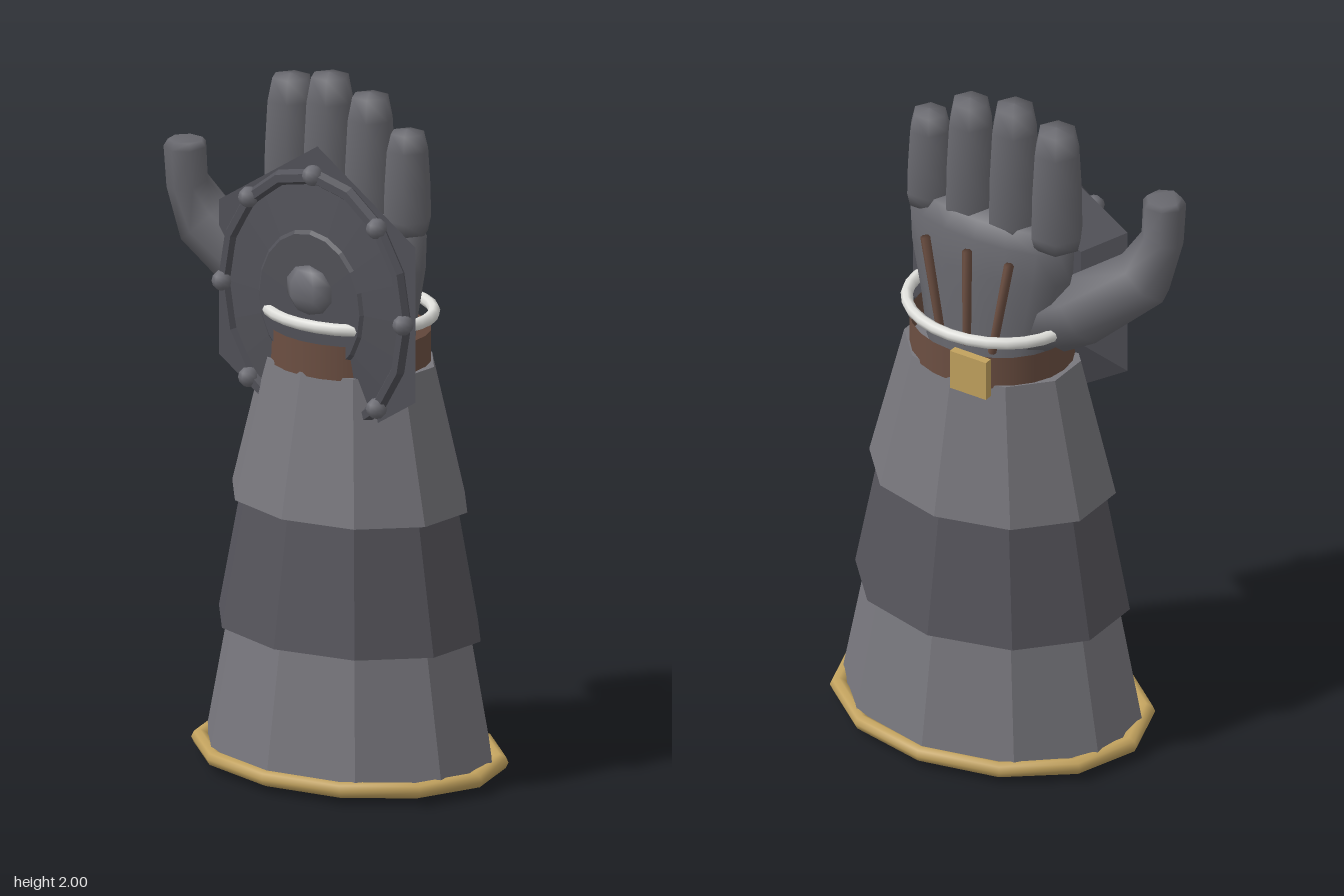
import * as THREE from 'three';

const mat = (name, color, flat = false) => {
  const m = new THREE.MeshStandardMaterial({ color, flatShading: flat });
  m.name = name;
  return m;
};

const CX = 0.03; // forearm axis

export function createModel() {
  const root = new THREE.Group();
  root.name = 'armouredGauntlet';
  const steel = mat('lightSteel', 0x78777d, true);
  const darkSteel = mat('darkSteel', 0x56555c, true);
  const glove = mat('gloveSteel', 0x68686e);
  const plate = mat('shieldSteel', 0x515158, true);
  const stud = mat('studSteel', 0x6c6c73);
  const gold = mat('gold', 0xc2a25e);
  const leather = mat('leather', 0x6c4f42);
  leather.side = THREE.DoubleSide;
  const white = mat('whiteCord', 0xe0e0dc);
  const lining = mat('navyLining', 0x12122e);

  const add = (name, geo, material, x = 0, y = 0, z = 0) => {
    const mesh = new THREE.Mesh(geo, material);
    mesh.name = name;
    mesh.position.set(x, y, z);
    root.add(mesh);
    return mesh;
  };
  const lathe = (pts, n, phi = 0) =>
    new THREE.LatheGeometry(pts.map(([r, y]) => new THREE.Vector2(r, y)), n, phi);

  // Tube through rings of [x, y, z, radius], closed at both ends
  const loft = (rings, n) => {
    const pos = [], idx = [];
    const P = rings.map(r => new THREE.Vector3(r[0], r[1], r[2]));
    rings.forEach((r, i) => {
      const dir = P[Math.min(i + 1, P.length - 1)].clone().sub(P[Math.max(i - 1, 0)]).normalize();
      const u = new THREE.Vector3(0, 0, 1).addScaledVector(dir, -dir.z).normalize();
      const v = new THREE.Vector3().crossVectors(dir, u);
      for (let k = 0; k < n; k++) {
        const a = k / n * Math.PI * 2;
        const p = P[i].clone().addScaledVector(u, Math.cos(a) * r[3]).addScaledVector(v, Math.sin(a) * r[3]);
        pos.push(p.x, p.y, p.z);
        if (i) {
          const b = i * n + k, c = i * n + (k + 1) % n;
          idx.push(b - n, c - n, c, b - n, c, b);
        }
      }
    });
    const last = (rings.length - 1) * n;
    for (let k = 1; k < n - 1; k++) idx.push(0, k + 1, k, last, last + k, last + k + 1);
    const g = new THREE.BufferGeometry();
    g.setAttribute('position', new THREE.Float32BufferAttribute(pos, 3));
    g.setIndex(idx);
    g.computeVertexNormals();
    return g;
  };

  // Three overlapping ten-sided forearm tiers
  [
    ['lowerCuff', steel, 0.05, 0.45, 0.42, 0.378],
    ['middleCuff', darkSteel, 0.41, 0.412, 0.79, 0.337],
    ['upperCuff', steel, 0.78, 0.37, 1.19, 0.265],
  ].forEach(([name, m, y0, r0, y1, r1]) => {
    add(name, lathe([[r0 * 0.85, y0 + 0.005], [r0, y0], [r1, y1], [0, y1]], 10), m, CX)
      .scale.z = 0.795;
  });

  // Gold hem and dark opening
  const hem = new THREE.TorusGeometry(0.455, 0.027, 8, 12).rotateX(Math.PI / 2).scale(1, 0.85, 0.79);
  add('goldHem', hem, gold, CX, 0.042);
  add('sleeveLining', new THREE.SphereGeometry(1, 20, 10).scale(0.385, 0.03, 0.305), lining, CX, 0.033);

  // Wrist strap, buckle and cord
  add('wristStrap', new THREE.CylinderGeometry(0.24, 0.24, 0.1, 24, 1, true).scale(1, 1, 0.875),
    leather, CX, 1.23);
  add('buckle', new THREE.BoxGeometry(0.12, 0.12, 0.025), gold, -0.04, 1.23, -0.217);
  add('wristCord', new THREE.TorusGeometry(0.25, 0.018, 8, 28).rotateX(Math.PI / 2).scale(1, 1, 0.85),
    white, CX, 1.33);

  // Palm: elliptical sections flattening towards the knuckles
  const palm = lathe([[0.2, 0], [0.225, 0.15], [0.26, 0.3], [0.27, 0.4], [0.22, 0.45], [0, 0.46]], 16);
  const pp = palm.attributes.position;
  for (let i = 0; i < pp.count; i++) pp.setZ(i, pp.getZ(i) * (0.66 - 0.75 * pp.getY(i)));
  palm.computeVertexNormals();
  add('palm', palm, glove, CX, 1.18);

  // Six-sided fingers
  [[-0.185, 1.97, 0.077], [-0.043, 2.0, 0.077], [0.104, 1.97, 0.074], [0.24, 1.89, 0.068]]
    .forEach(([x, top, r], i) => {
      const h = top - 1.59;
      add('finger' + (i + 1), lathe([[0, 0], [r * 0.9, 0], [r * 1.03, 0.04], [r, h * 0.45],
        [r * 0.9, h * 0.8], [r * 0.72, h - 0.01], [0, h]], 6, Math.PI / 6), glove, x, 1.59, 0);
    });

  // Thumb
  add('thumb', loft([[-0.1, 1.3, 0.01, 0.1], [-0.24, 1.38, 0.04, 0.105], [-0.42, 1.52, 0.09, 0.09],
    [-0.45, 1.63, 0.13, 0.062], [-0.45, 1.74, 0.14, 0.062], [-0.45, 1.757, 0.14, 0.05]], 7), glove);

  // Leather tendons fanning across the back of the hand
  [-1, 0, 1].forEach(s => {
    add('tendon', loft([[CX + s * 0.085, 1.26, -0.13, 0.012], [CX + s * 0.14, 1.56, -0.128, 0.014]], 6), leather);
  });

  // Palm shield: pointed backing, round face, rim, inner disc and boss
  const shield = new THREE.Group();
  shield.name = 'palmShield';
  shield.position.set(CX, 1.38, 0);
  root.add(shield);
  const put = (name, geo, m, x, y, z) => {
    const mesh = add(name, geo, m, x, y, z);
    shield.add(mesh);
    return mesh;
  };
  put('pointedBacking', new THREE.CylinderGeometry(0.45, 0.3, 0.055, 6).rotateX(Math.PI / 2)
    .rotateZ(0).scale(0.92, 1, 1), plate, 0, 0, 0.112);
  put('shieldFace', lathe([[0, 0.11], [0.34, 0.13], [0.34, 0.15], [0.2, 0.166], [0.19, 0.174], [0, 0.176]], 20)
    .rotateX(Math.PI / 2).scale(0.96, 1.06, 1), plate, 0, 0, 0);
  put('shieldRim', new THREE.TorusGeometry(0.335, 0.021, 6, 16).scale(0.98, 1.09, 1), plate, 0, 0, 0.15);
  put('centreBoss', new THREE.SphereGeometry(0.085, 6, 5).scale(1, 0.85, 0.45), stud, 0, 0.04, 0.175);
  for (let i = 0; i < 8; i++) {
    const a = i * Math.PI / 4;
    put('stud', new THREE.SphereGeometry(0.03, 8, 6), stud,
      Math.cos(a) * 0.33, Math.sin(a) * 0.37, 0.16);
  }
  return root;
}
